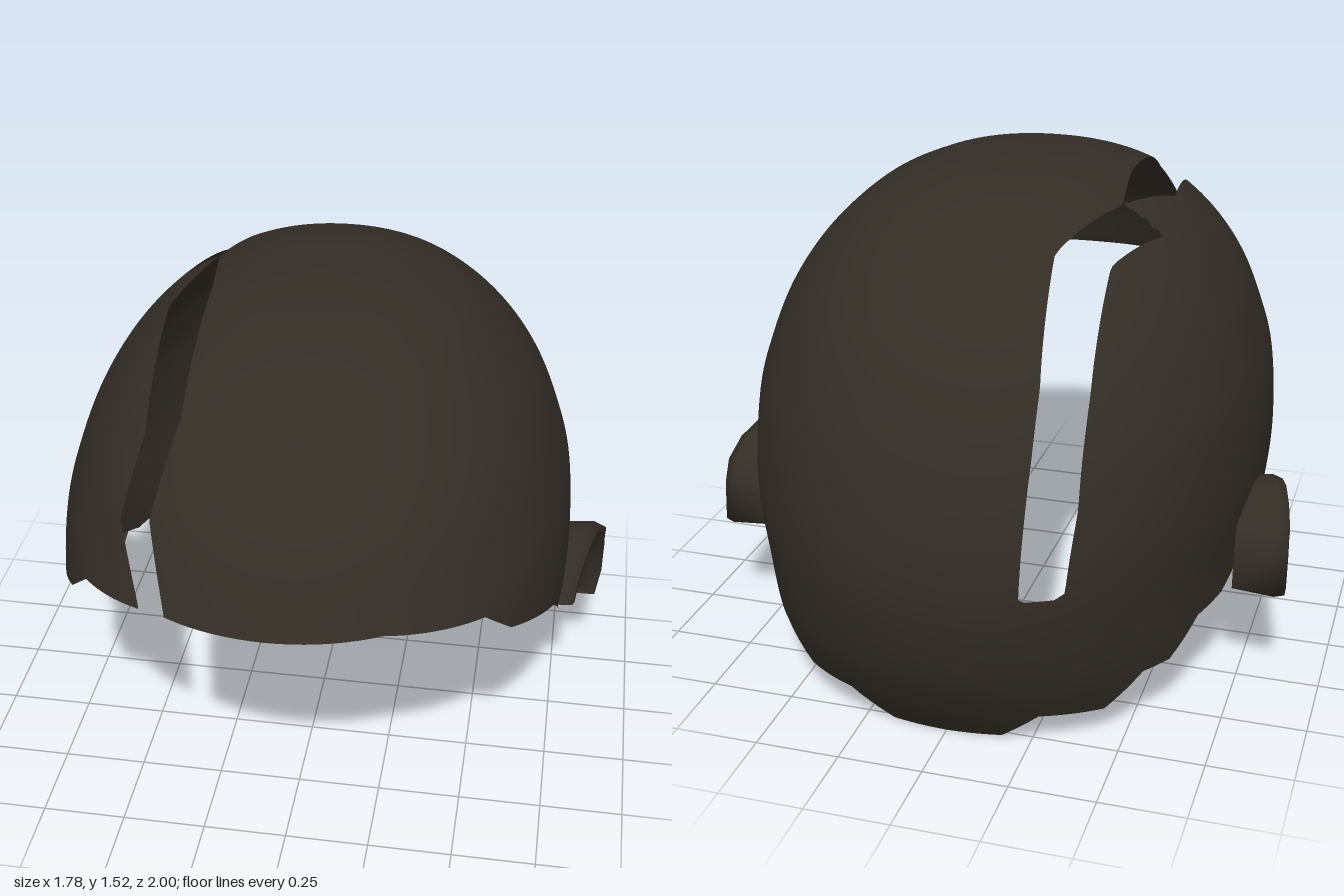
import * as THREE from 'three';
import { mergeVertices } from 'three/addons/utils/BufferGeometryUtils.js';

const TOP = 1.525;
const material = new THREE.MeshStandardMaterial({ color: 0x332d26, side: THREE.DoubleSide });

// Piecewise linear lookup in a list of [key, value] with ascending keys
function lookup(list, k) {
  if (k <= list[0][0]) return list[0][1];
  for (let i = 1; i < list.length; i++) {
    const [a, va] = list[i - 1], [b, vb] = list[i];
    if (k <= b) return va + (vb - va) * (k - a) / Math.max(b - a, 1e-9);
  }
  return list[list.length - 1][1];
}

// Smooth half-profile given as [reach, y] from the crown down, read by height
function profile(points) {
  const curve = new THREE.SplineCurve(points.map(p => new THREE.Vector2(...p)));
  const list = curve.getPoints(120).map(p => [-p.y, p.x]);
  return y => lookup(list, -y);
}
const side = profile([[0, TOP], [0.21, 1.505], [0.35, 1.455], [0.45, 1.4], [0.57, 1.285], [0.66, 1.15],
  [0.72, 1.0], [0.755, 0.86], [0.767, 0.63], [0.745, 0.4], [0.735, 0.2], [0.72, 0]]);
const front = profile([[0, TOP], [0.33, 1.49], [0.63, 1.385], [0.87, 1.18], [1.0, 0.94], [1.06, 0.79],
  [1.08, 0.6], [1.08, 0.4]]);
const back = profile([[0, TOP], [0.29, 1.505], [0.57, 1.405], [0.79, 1.21], [0.92, 0.97], [0.985, 0.73],
  [1.0, 0.55], [0.98, 0.4], [0.935, 0.25], [0.86, 0.11], [0.785, 0]]);

// Jagged lower rim: [azimuth in degrees (90 = front), height]
const rim = [[-90, 0], [-78, 0.005], [-70.7, 0.11], [-57.5, 0.1], [-50, 0.21], [-43, 0.21], [-35, 0.31],
  [-25, 0.32], [-8, 0.42], [-2, 0.48], [6, 0.465], [10.6, 0.49], [24.6, 0.65], [46, 0.79], [52.8, 0.88],
  [72, 0.938], [90, 0.935]];

// Edges of the crack: [angle over the head in degrees (0 = crown, + = front), x]
const crackOuter = [[-87, -0.375], [-71, -0.4], [-52, -0.4], [-29, -0.385], [-13.4, -0.48], [-13, -0.355],
  [3.7, -0.45], [37, -0.4], [51, -0.44], [64.4, -0.36]];
const crackInner = [[-87, -0.265], [-63.6, -0.28], [-53, -0.28], [-31, -0.245], [-13, -0.355], [3, -0.32],
  [35, -0.295], [51, -0.345], [65, -0.28]];

// Positive on the shell, negative inside the crack
function solid([x, y, z]) {
  const t = Math.atan2(z, y - 0.5) * 180 / Math.PI;
  return Math.max(lookup(crackOuter, t) - x, x - lookup(crackInner, t), (-87 - t) * 0.017);
}

function headPoint(azimuth, v) {
  const a = azimuth * Math.PI / 180, c = Math.cos(a), s = Math.sin(a);
  const low = lookup(rim, Math.asin(s) * 180 / Math.PI);
  const y = TOP - (TOP - low) * (1 - Math.cos(v * Math.PI / 2));
  if (v === 0) return [0, TOP, 0];
  const n = 2.15, depth = s > 0 ? front(y) : back(y);
  const r = Math.pow(Math.pow(Math.abs(c) / side(y), n) + Math.pow(Math.abs(s) / depth, n), -1 / n);
  return [r * c, y, r * s];
}

// Cuts a triangle along the zero line of the crack field
function addClipped(out, tri) {
  const f = tri.map(solid), poly = [];
  for (let i = 0; i < 3; i++) {
    const j = (i + 1) % 3;
    if (f[i] >= 0) poly.push(tri[i]);
    if ((f[i] >= 0) !== (f[j] >= 0)) {
      const k = f[i] / (f[i] - f[j]);
      poly.push(tri[i].map((p, m) => p + (tri[j][m] - p) * k));
    }
  }
  for (let i = 2; i < poly.length; i++) out.push(...poly[0], ...poly[i - 1], ...poly[i]);
}

function smooth(positions) {
  const g = new THREE.BufferGeometry();
  g.setAttribute('position', new THREE.Float32BufferAttribute(positions, 3));
  const merged = mergeVertices(g, 1e-4);
  merged.computeVertexNormals();
  return merged;
}

// Skull shell: columns follow the corners of the rim, mirrored to both sides
function headShell() {
  const half = [];
  for (let i = 1; i < rim.length; i++) {
    const a = rim[i - 1][0], b = rim[i][0], steps = Math.ceil((b - a) / 2);
    for (let k = 0; k < steps; k++) half.push(a + (b - a) * k / steps);
  }
  const angles = [...half, 90, ...half.slice(1).reverse().map(a => 180 - a), 270];
  const rows = 72, out = [];
  const grid = angles.map(a => Array.from({ length: rows + 1 }, (_, j) => headPoint(a, j / rows)));
  for (let i = 0; i + 1 < grid.length; i++) {
    for (let j = 0; j < rows; j++) {
      const p = grid[i][j], q = grid[i + 1][j], r = grid[i + 1][j + 1], s = grid[i][j + 1];
      if (j > 0) addClipped(out, [p, q, r]);
      addClipped(out, [p, r, s]);
    }
  }
  return smooth(out);
}

// Broken upper ear: outline [z, y] swept through a hollow, a rim and a back wall
function earShell() {
  const outline = [[0.08, 0.46], [0.03, 0.54], [-0.05, 0.59], [-0.14, 0.61], [-0.22, 0.585], [-0.29, 0.53],
    [-0.325, 0.46], [-0.335, 0.33], [-0.21, 0.3]];
  const section = [[0, -0.035], [0.55, -0.035], [0.82, 0], [0.95, 0], [1, -0.03], [0.95, null]];
  const cz = -0.11, cy = 0.4, out = [];
  const grid = outline.map(([oz, oy]) => section.map(([k, dx]) => {
    const z = cz + (oz - cz) * k, y = cy + (oy - cy) * k;
    return [dx === null ? 0.735 : Math.min(0.89, 0.8 + (0.06 - z) * 0.27) + dx, y, z];
  }));
  for (let i = 0; i + 1 < grid.length; i++) {
    for (let j = 0; j + 1 < section.length; j++) {
      const p = grid[i][j], q = grid[i + 1][j], r = grid[i + 1][j + 1], s = grid[i][j + 1];
      if (j > 0) out.push(...p, ...r, ...q);
      out.push(...p, ...s, ...r);
    }
  }
  return smooth(out);
}

export function createModel() {
  const group = new THREE.Group();
  group.name = 'crackedHeadShell';
  const add = (geometry, name) => {
    const mesh = new THREE.Mesh(geometry, material);
    mesh.name = name;
    group.add(mesh);
    return mesh;
  };
  add(headShell(), 'skullShell');
  const ear = earShell();
  add(ear, 'leftEar');
  add(ear, 'rightEar').scale.x = -1;
  return group;
}
